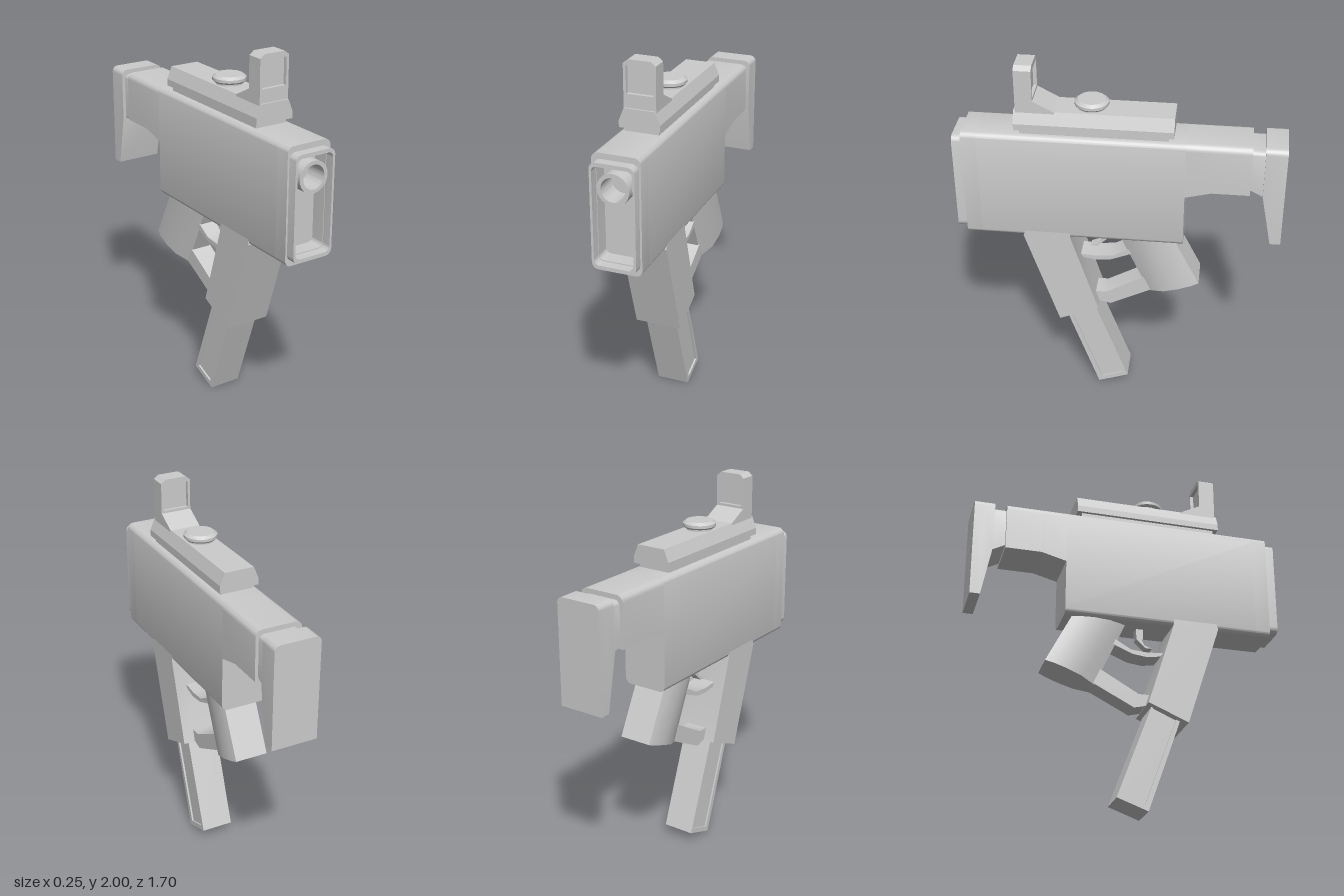
import * as THREE from 'three';
import { toCreasedNormals } from 'three/addons/utils/BufferGeometryUtils.js';

const grey = new THREE.MeshStandardMaterial({ color: 0xcccccc });

export function createModel() {
  const model = new THREE.Group();

  function add(name, geometry, crease = 0.6) {
    const mesh = new THREE.Mesh(toCreasedNormals(geometry, crease), grey);
    mesh.name = name;
    model.add(mesh);
    return mesh;
  }

  const polygon = (pts) => new THREE.Shape(pts.map(([a, b]) => new THREE.Vector2(a, b)));

  // Side profile given as [z, y], extruded across x and centred
  function side(pts, halfWidth, hole) {
    const shape = polygon(pts);
    if (hole) shape.holes.push(polygon(hole));
    return new THREE.ExtrudeGeometry(shape, { depth: halfWidth * 2, bevelEnabled: false })
      .translate(0, 0, -halfWidth)
      .rotateY(-Math.PI / 2);
  }

  // Front outline extruded from z0 to z1
  const along = (shape, z0, z1) =>
    new THREE.ExtrudeGeometry(shape, { depth: z1 - z0, bevelEnabled: false, curveSegments: 6 })
      .translate(0, 0, z0);

  function roundedRect(w, y0, y1, r, Type = THREE.Shape) {
    const s = new Type();
    s.moveTo(-w + r, y0);
    s.lineTo(w - r, y0);
    s.absarc(w - r, y0 + r, r, -Math.PI / 2, 0);
    s.lineTo(w, y1 - r);
    s.absarc(w - r, y1 - r, r, 0, Math.PI / 2);
    s.lineTo(-w + r, y1);
    s.absarc(-w + r, y1 - r, r, Math.PI / 2, Math.PI);
    s.lineTo(-w, y0 + r);
    s.absarc(-w + r, y0 + r, r, Math.PI, Math.PI * 1.5);
    return s;
  }

  // Skin over equal-length convex rings, capped at both ends
  function loft(rings) {
    const n = rings[0].length, last = (rings.length - 1) * n, index = [];
    for (let i = 0; i < rings.length - 1; i++) {
      for (let j = 0; j < n; j++) {
        const a = i * n + j, b = i * n + (j + 1) % n;
        index.push(a, b, b + n, a, b + n, a + n);
      }
    }
    for (let j = 1; j < n - 1; j++) {
      index.push(0, j + 1, j, last, last + j, last + j + 1);
    }
    const g = new THREE.BufferGeometry();
    g.setAttribute('position', new THREE.Float32BufferAttribute(rings.flat(2), 3));
    g.setIndex(index);
    return g;
  }

  // Ring with square bottom and rounded top corners
  function archRing(z, w, y0, y1, r) {
    const ring = [[-w, y0, z], [w, y0, z]];
    for (const [cx, start] of [[w - r, 0], [-w + r, Math.PI / 2]]) {
      for (let k = 0; k <= 5; k++) {
        const a = start + (k / 5) * Math.PI / 2;
        ring.push([cx + r * Math.cos(a), y1 - r + r * Math.sin(a), z]);
      }
    }
    return ring;
  }

  // Receiver with a hollow front end
  add('receiver', along(roundedRect(0.125, 1.025, 1.635, 0.035), -0.345, 0.72));
  const collar = roundedRect(0.125, 1.025, 1.635, 0.035);
  collar.holes.push(roundedRect(0.1, 1.08, 1.58, 0.025, THREE.Path));
  add('frontCollar', along(collar, 0.72, 0.8));
  const frame = roundedRect(0.115, 1.055, 1.605, 0.035);
  frame.holes.push(roundedRect(0.103, 1.075, 1.585, 0.028, THREE.Path));
  add('frontFrame', along(frame, 0.8, 0.85));

  const barrel = new THREE.Shape().absarc(0, 1.475, 0.082, 0, Math.PI * 2);
  barrel.holes.push(new THREE.Path().absarc(0, 1.475, 0.062, 0, Math.PI * 2));
  add('barrel', new THREE.ExtrudeGeometry(barrel, { depth: 0.12, bevelEnabled: false, curveSegments: 24 })
    .translate(0, 0, 0.72));

  // Rear of receiver, neck and butt plate
  add('rearReceiver', loft([[-0.675, 1.365], [-0.48, 1.365], [-0.345, 1.33]]
    .map(([z, y]) => archRing(z, 0.125, y, 1.635, 0.035))));
  add('stockNeck', loft([[-0.745, 1.35], [-0.67, 1.39]]
    .map(([z, y]) => archRing(z, 0.108, y, 1.61, 0.03))));
  add('buttPlate', loft([[-0.85, 1.075], [-0.795, 1.075], [-0.74, 1.36]]
    .map(([z, y]) => archRing(z, 0.125, y, 1.635, 0.03))));

  // Magazine well and magazine with recessed side panels
  add('magazineWell', side([[0.32, 0.478], [0.105, 0.568], [0.25, 1.03], [0.25, 1.06], [0.49, 1.06], [0.5, 1.03]], 0.125));
  add('magazineCore', side([[0.105, 0.015], [-0.045, 0.067], [0.14, 0.555], [0.28, 0.5]], 0.078));
  add('magazineRim', side(
    [[0.11, 0.0], [-0.055, 0.06], [0.145, 0.6], [0.3, 0.54]], 0.088,
    [[0.093, 0.034], [0.27, 0.52], [0.145, 0.565], [-0.025, 0.077]]));

  // Grip, chamfered toward its front edge
  const section = [[0, -0.09], [0.15, -0.1], [0.4, -0.104], [0.7, -0.095], [1, -0.055],
    [1, 0.055], [0.7, 0.095], [0.4, 0.104], [0.15, 0.1], [0, 0.09]];
  const gripEnds = [[[-0.437, 0.759], [-0.167, 0.663]], [[-0.3, 1.03], [0, 1.03]]];
  add('grip', loft(gripEnds.map(([back, front]) => section.map(([s, x]) => [
    x,
    THREE.MathUtils.lerp(back[1], front[1], s),
    THREE.MathUtils.lerp(back[0], front[0], s),
  ]))));

  // Trigger, its guard and the lower brace
  add('trigger', side([[0.105, 1.04], [0.105, 0.97], [0.09, 0.945], [0.155, 0.918], [0.12, 0.918],
    [0.07, 0.965], [0.065, 1.04]], 0.025));
  add('triggerGuard', side([[0.21, 0.885], [0.19, 0.862], [0.12, 0.85], [0.04, 0.86], [-0.07, 0.905],
    [-0.055, 0.935], [0.03, 0.885], [0.12, 0.877]], 0.06));
  add('lowerBrace', side([[0.13, 0.635], [0.07, 0.635], [-0.14, 0.755], [-0.175, 0.67],
    [0.045, 0.557], [0.12, 0.575]], 0.06));

  // Sight rail and its tapered housing
  add('sightRail', new THREE.BoxGeometry(0.18, 0.04, 0.755).translate(0, 1.645, 0.122));
  add('sightHousing', along(polygon([[-0.107, 1.66], [0.107, 1.66], [0.107, 1.695],
    [0.08, 1.76], [-0.08, 1.76], [-0.107, 1.695]]), -0.283, 0.527), 0.2);

  // Adjustment knob
  add('sightKnob', new THREE.LatheGeometry(
    [[0, 1.755], [0.068, 1.755], [0.068, 1.772], [0.08, 1.772], [0.087, 1.78], [0.087, 1.795], [0.07, 1.808], [0, 1.808]]
      .map(([r, y]) => new THREE.Vector2(r, y)), 32).translate(0, 0, 0.14), 0.4);

  // Upright sight window with recessed pane and rear brace
  const post = polygon([[-0.084, 1.75], [0.084, 1.75], [0.084, 1.98], [0.058, 2], [-0.058, 2], [-0.084, 1.98]]);
  post.holes.push(polygon([[-0.07, 1.83], [-0.07, 1.97], [0.07, 1.97], [0.07, 1.83]]));
  add('sightPost', along(post, 0.428, 0.517), 0.2);
  add('sightPane', new THREE.BoxGeometry(0.15, 0.15, 0.05).translate(0, 1.9, 0.472));
  add('sightBrace', side([[0.43, 1.75], [0.43, 1.817], [0.32, 1.76], [0.32, 1.75]], 0.084));

  return model;
}
